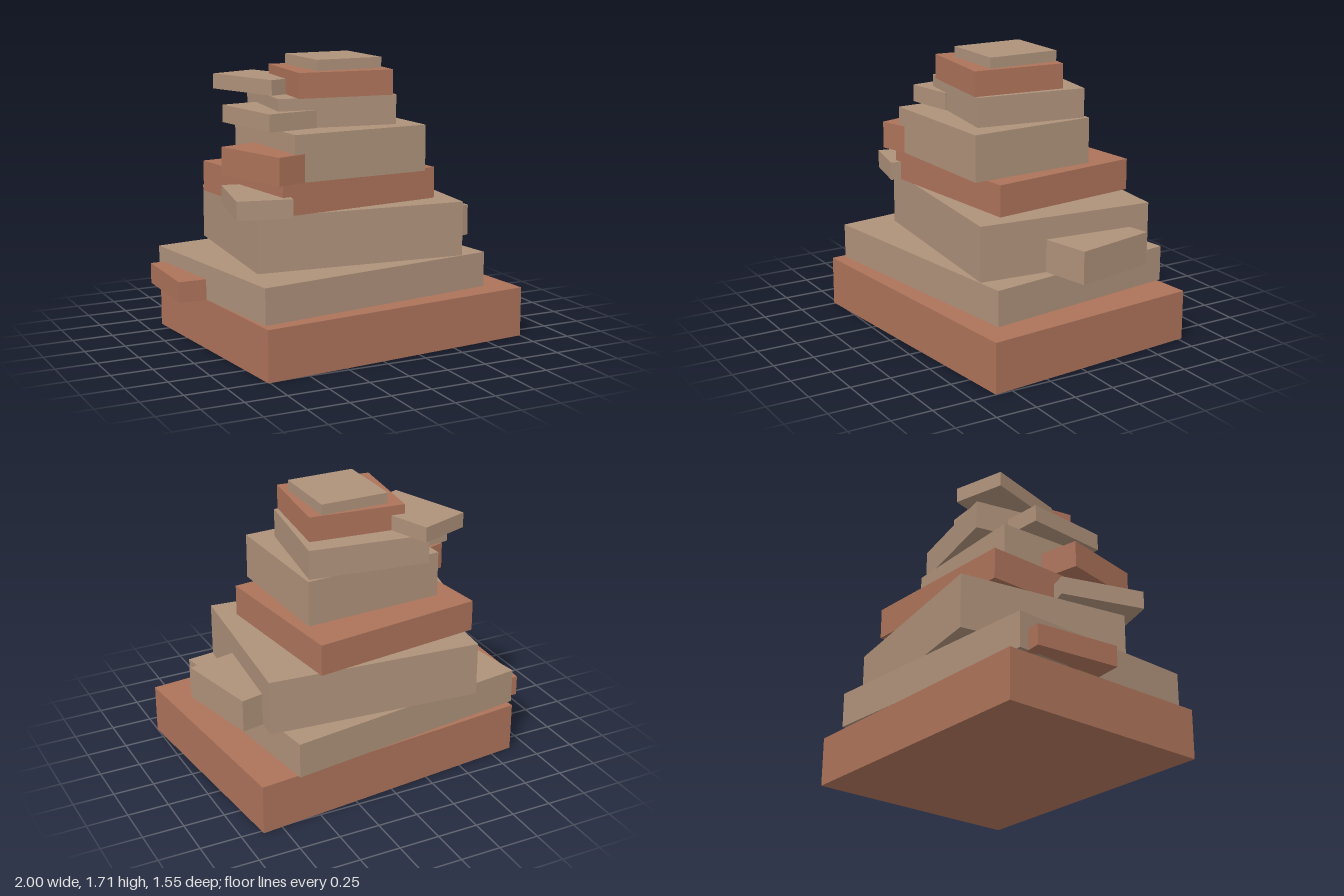
import * as THREE from 'three';

export function createModel() {
  const model = new THREE.Group();
  const rust = new THREE.MeshStandardMaterial({ name: 'rustStone', color: 0xad735a });
  const tan = new THREE.MeshStandardMaterial({ name: 'tanStone', color: 0xae917a });

  // A flat block spanning y0..y1, turned about the vertical axis
  function block(name, material, y0, y1, x, z, width, depth, turn) {
    const mesh = new THREE.Mesh(new THREE.BoxGeometry(width, y1 - y0, depth), material);
    mesh.name = name;
    mesh.position.set(x, (y0 + y1) / 2, z);
    mesh.rotation.y = turn;
    model.add(mesh);
  }

  // Main stack, bottom to top: material, y0, y1, x, z, width, depth, turn
  [
    [rust, 0, 0.305, 0.055, -0.002, 1.768, 1.386, 0.0935],
    [tan, 0.305, 0.52, -0.052, -0.042, 1.565, 1.262, 0.137],
    [tan, 0.52, 0.85, 0.043, -0.108, 1.3, 1.091, -0.088],
    [rust, 0.85, 1.04, -0.037, -0.11, 1.067, 0.963, 0.115],
    [tan, 1.04, 1.318, -0.022, 0.021, 0.871, 0.8, 0.044],
    [tan, 1.318, 1.495, -0.03, -0.085, 0.73, 0.68, -0.136],
    [rust, 1.495, 1.645, -0.002, -0.007, 0.588, 0.567, -0.104],
    [tan, 1.645, 1.71, 0.03, -0.035, 0.425, 0.45, 0],
  ].forEach((p, i) => block(`stackLayer${i + 1}`, ...p));

  // Slabs jutting out of the stack, all with the same footprint: material, y0, y1, x, z, turn
  [
    [rust, 0.305, 0.43, -0.833, -0.234, -0.019],
    [tan, 0.52, 0.717, 0.758, -0.207, 0.213],
    [tan, 0.85, 0.961, -0.575, 0.193, -0.22],
    [rust, 1.04, 1.205, -0.477, 0.192, 0.28],
    [tan, 1.318, 1.423, -0.409, 0.006, 0.15],
    [tan, 1.495, 1.587, -0.337, -0.262, 0.333],
  ].forEach(([material, y0, y1, x, z, turn], i) =>
    block(`sideSlab${i + 1}`, material, y0, y1, x, z, 0.325, 0.526, turn));

  return model;
}
